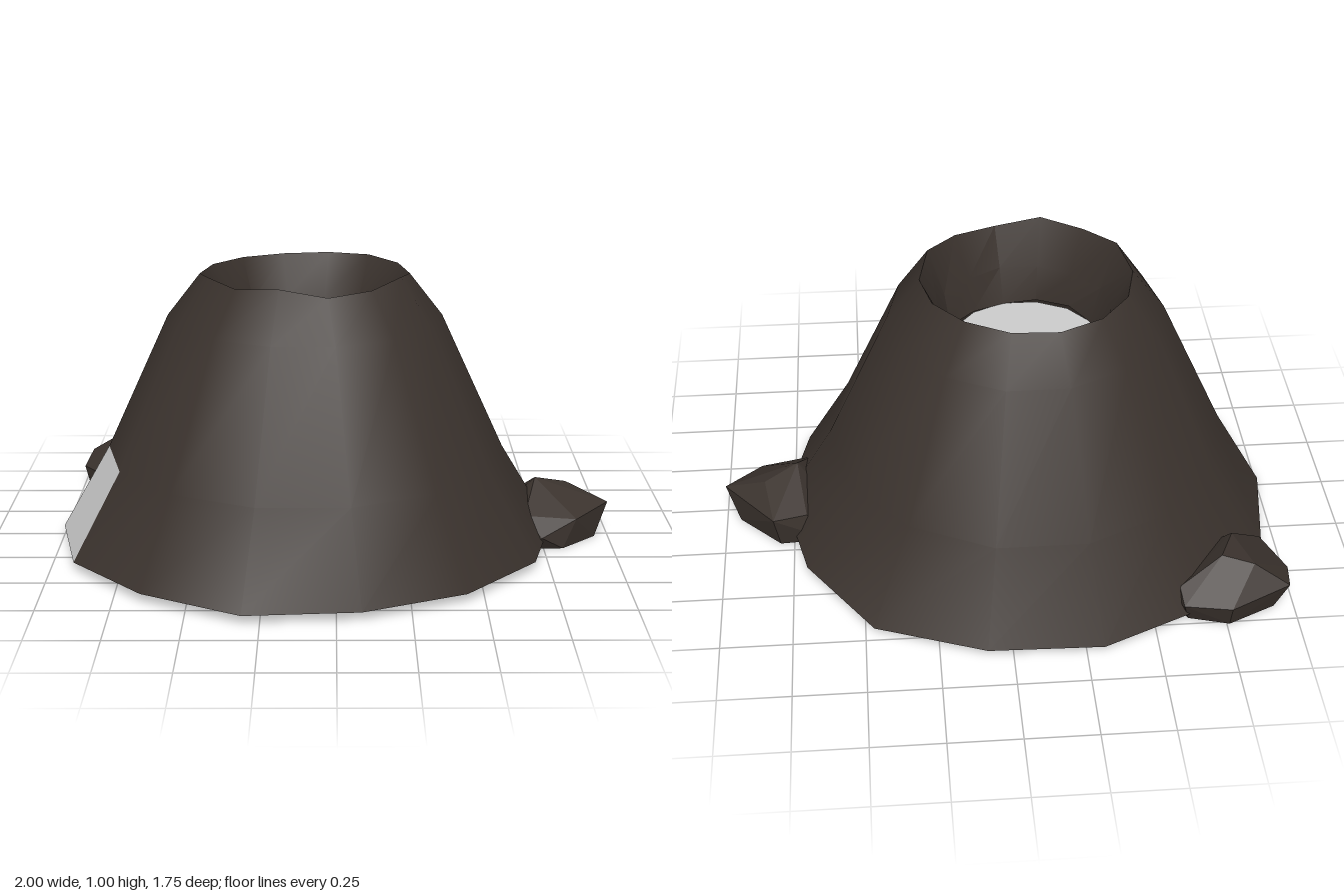
import * as THREE from 'three';
import { toCreasedNormals } from 'three/addons/utils/BufferGeometryUtils.js';
import { ConvexGeometry } from 'three/addons/geometries/ConvexGeometry.js';

const SIDES = 14;
const CENTER_X = -0.11;
const VENT = 6; // index of the pale face in the lowest band

const stone = new THREE.MeshStandardMaterial({ color: 0x3a322d, side: THREE.DoubleSide });
const rockStone = new THREE.MeshStandardMaterial({ color: 0x3a322d, flatShading: true });
const pale = new THREE.MeshStandardMaterial({ color: 0xcccccc, side: THREE.DoubleSide });

// Uneven base radius and rim height, one value per side
const baseR = [0.9, 0.895, 0.88, 0.87, 0.9, 0.875, 0.895, 0.89, 0.92, 0.91, 0.9, 0.89, 0.93, 0.9];
const rimY = [0.98, 1, 0.98, 0.97, 1, 0.985, 1, 0.98, 0.98, 0.98, 0.98, 0.985, 0.99, 0.985];

// Rings from the foot, over the rim and down into the crater
const rings = [
  { r: (i) => baseR[i], y: () => 0.033 },
  { r: () => 0.715, y: () => 0.34 },
  { r: () => 0.49, y: () => 0.83 },
  { r: () => 0.373, y: (i) => rimY[i] },
  { r: (i) => 0.305 + 0.008 * Math.sin(i * 2.3), y: () => 0.83 },
  { r: (i) => 0.278 + 0.012 * Math.sin(i * 1.7), y: () => 0.7 },
];

function ringPoint(ring, i) {
  const k = i % SIDES;
  const a = (k / SIDES) * Math.PI * 2;
  return [CENTER_X + ring.r(k) * Math.cos(a), ring.y(k), ring.r(k) * Math.sin(a)];
}

// Joins the rings with quads, keeping only those the filter accepts
function bandGeometry(keep) {
  const positions = [];
  const index = [];
  for (const ring of rings) {
    for (let i = 0; i < SIDES; i++) positions.push(...ringPoint(ring, i));
  }
  for (let b = 0; b < rings.length - 1; b++) {
    for (let i = 0; i < SIDES; i++) {
      if (!keep(b, i)) continue;
      const j = (i + 1) % SIDES;
      const low = b * SIDES;
      const up = low + SIDES;
      index.push(low + i, up + i, low + j, up + i, up + j, low + j);
    }
  }
  const geometry = new THREE.BufferGeometry();
  geometry.setAttribute('position', new THREE.Float32BufferAttribute(positions, 3));
  geometry.setIndex(index);
  return toCreasedNormals(geometry, 0.55);
}

function addMesh(group, name, geometry, material) {
  const mesh = new THREE.Mesh(geometry, material);
  mesh.name = name;
  group.add(mesh);
  return mesh;
}

// Faceted boulder: convex hull of a few corners
function addRock(group, name, corners) {
  const points = corners.map((c) => new THREE.Vector3(...c));
  addMesh(group, name, new ConvexGeometry(points), rockStone);
}

export function createModel() {
  const group = new THREE.Group();
  group.name = 'volcano';

  // Hollow mountain with its crater, and the pale face low on one flank
  const isVent = (b, i) => b === 0 && i === VENT;
  addMesh(group, 'mountain', bandGeometry((b, i) => !isVent(b, i)), stone);
  addMesh(group, 'flankPatch', bandGeometry(isVent), pale);

  // Pool closing the crater
  const pool = addMesh(group, 'craterPool', new THREE.CircleGeometry(0.275, SIDES), pale);
  pool.rotation.x = -Math.PI / 2;
  pool.position.set(CENTER_X, 0.7, -0.005);

  // Boulders resting against the foot
  addRock(group, 'sideRock', [
    [0.55, 0, -0.1], [0.62, 0, -0.2], [0.8, 0, -0.21], [0.95, 0, -0.06], [0.95, 0, 0.03],
    [0.82, 0, 0.16], [0.62, 0, 0.17], [0.55, 0, 0.08],
    [0.74, 0.05, 0.195], [0.87, 0.1, 0.13], [1, 0.12, -0.01], [0.82, 0.125, -0.235],
    [0.7, 0.12, -0.2], [0.73, 0.215, -0.01], [0.85, 0.18, -0.07], [0.68, 0.12, 0.15],
  ]);
  addRock(group, 'backRock', [
    [-0.97, 0, -0.55], [-0.93, 0, -0.68], [-0.76, 0, -0.76], [-0.62, 0, -0.72], [-0.55, 0, -0.55],
    [-0.65, 0, -0.38], [-0.8, 0, -0.36], [-0.92, 0, -0.43],
    [-0.995, 0.08, -0.57], [-0.975, 0.11, -0.7], [-0.76, 0.09, -0.79], [-0.6, 0.08, -0.75],
    [-0.59, 0.12, -0.69], [-0.92, 0.1, -0.42], [-0.85, 0.19, -0.67], [-0.74, 0.21, -0.64],
    [-0.8, 0.19, -0.5],
  ]);

  return group;
}
